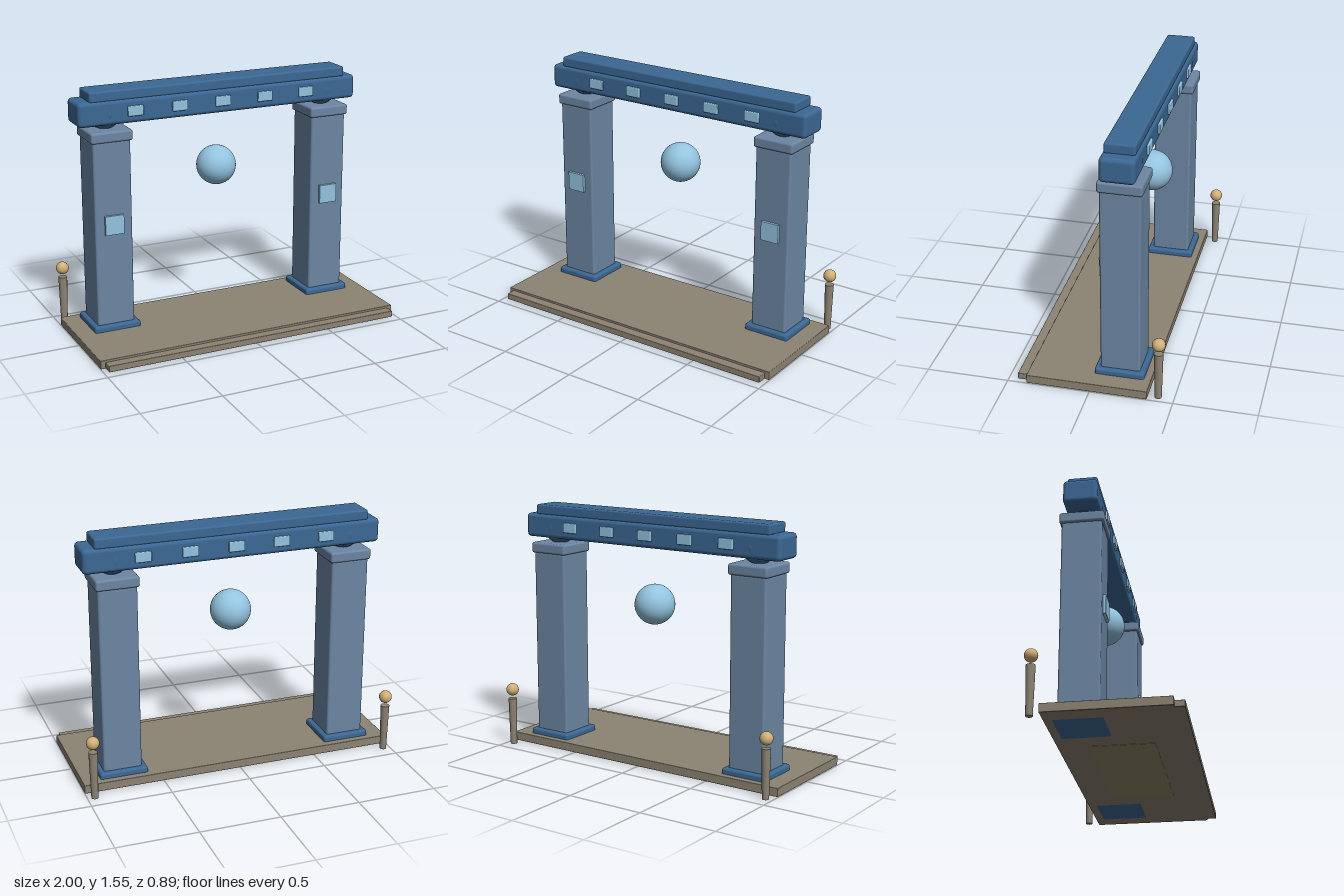
import * as THREE from 'three';
import { RoundedBoxGeometry } from 'three/addons/geometries/RoundedBoxGeometry.js';

const mat = (color) => new THREE.MeshStandardMaterial({ color });

export function createModel() {
  const model = new THREE.Group();
  const stone = mat(0x8c8373);
  const pillarBlue = mat(0x6c86a3);
  const deepBlue = mat(0x3c6894);
  const glow = mat(0x93c4e0);
  const gold = mat(0xd2b078);
  const tan = mat(0x8e8464);

  const add = (name, geometry, material, x, y, z, parent = model) => {
    const mesh = new THREE.Mesh(geometry, material);
    mesh.name = name;
    mesh.position.set(x, y, z);
    parent.add(mesh);
    return mesh;
  };
  // box given by centre x, z and its bottom and top; r rounds the edges
  const block = (name, material, w, d, y0, y1, x, z, r = 0, parent = model) => {
    const h = y1 - y0;
    const g = r ? new RoundedBoxGeometry(w, h, d, 3, r) : new THREE.BoxGeometry(w, h, d);
    return add(name, g, material, x, (y0 + y1) / 2, z, parent);
  };

  const gateZ = -0.153;

  // platform with front step and inset panel underneath
  block('platform', stone, 2, 0.73, 0.002, 0.056, 0, 0.02, 0.004);
  block('frontStep', stone, 1.94, 0.1, 0.002, 0.042, 0, 0.395, 0.004);
  block('undersidePanel', tan, 0.92, 0.38, 0, 0.03, 0, 0.03);

  for (const side of [-1, 1]) {
    const label = side > 0 ? 'left' : 'right';

    // pillar with foot, capital, bearing ball and front plate
    const pillar = new THREE.Group();
    pillar.name = label + 'Pillar';
    pillar.position.x = side * 0.738;
    model.add(pillar);
    block('pillarFoot', deepBlue, 0.3, 0.3, 0, 0.092, 0, gateZ, 0.015, pillar);
    block('pillarShaft', pillarBlue, 0.24, 0.24, 0.05, 1.256, 0, gateZ, 0.014, pillar);
    block('pillarCapital', pillarBlue, 0.265, 0.265, 1.25, 1.317, 0, gateZ, 0.014, pillar);
    add('bearingBall', new THREE.SphereGeometry(0.105, 24, 16), deepBlue, 0, 1.411, gateZ, pillar);
    block('pillarPlate', glow, 0.12, 0.03, 0.675, 0.795, 0, -0.03, 0, pillar);

    // lamp post behind the platform
    const lamp = new THREE.Group();
    lamp.name = label + 'LampPost';
    lamp.position.set(side * 0.955, 0, -0.405);
    model.add(lamp);
    add('lampPole', new THREE.CylinderGeometry(0.028, 0.021, 0.303, 14), stone, 0, 0.1515, 0, lamp);
    add('lampBall', new THREE.SphereGeometry(0.04, 20, 14), gold, 0, 0.362, 0, lamp);
  }

  // lintel and its top slab
  block('lintel', deepBlue, 1.87, 0.205, 1.347, 1.497, 0, gateZ, 0.025);
  block('lintelTop', deepBlue, 1.72, 0.18, 1.49, 1.555, 0, gateZ, 0.012);

  // lights that show on both faces of the lintel
  for (let i = -2; i <= 2; i++) {
    for (const face of [-1, 1]) {
      block('lintelLight', glow, 0.1, 0.03, 1.392, 1.455, i * 0.288, gateZ + face * 0.101, 0.006);
    }
  }

  // floating orb
  add('orb', new THREE.SphereGeometry(0.125, 40, 28), glow, 0, 0.99, gateZ);

  return model;
}
